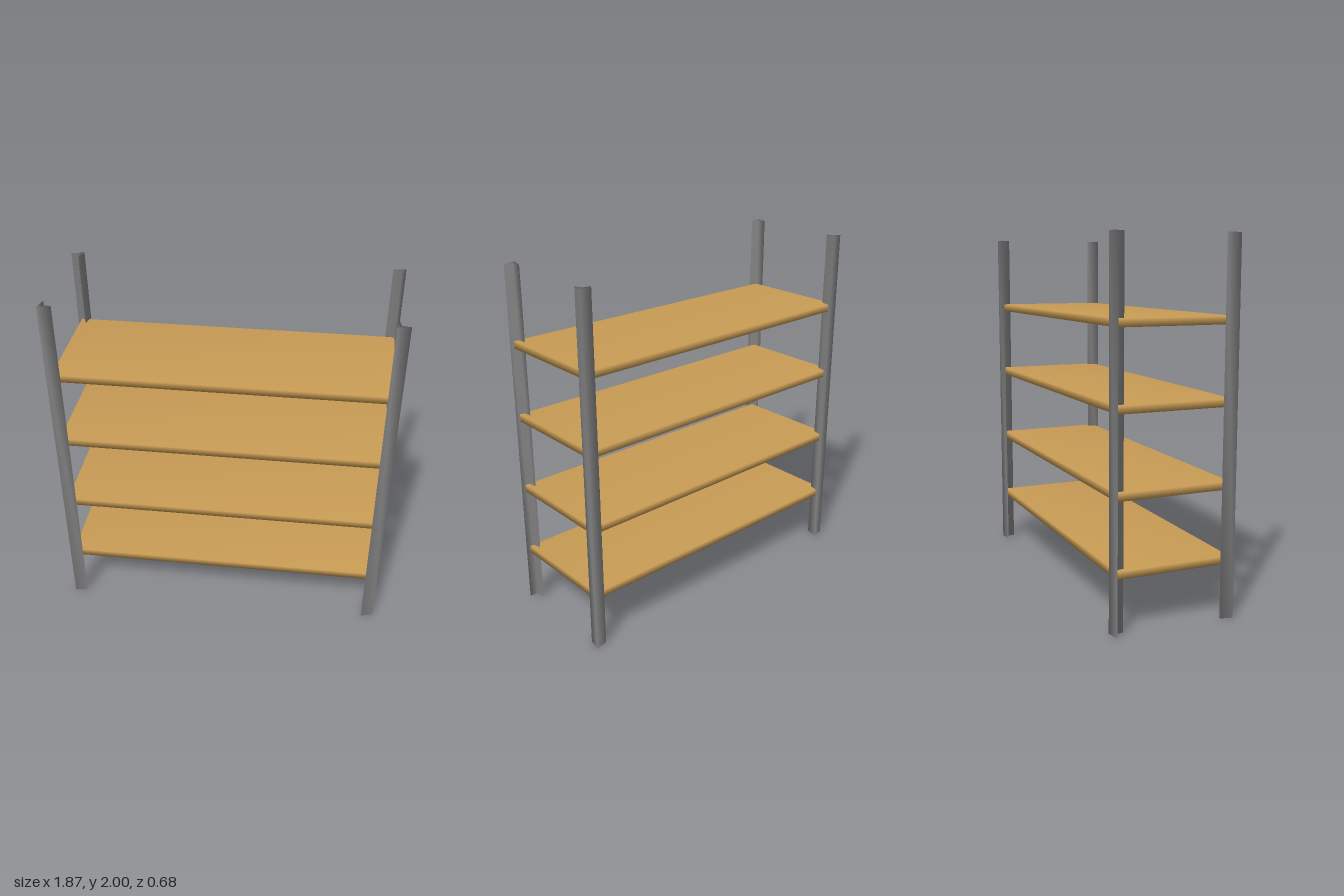
import * as THREE from 'three';
import { mergeVertices } from 'three/addons/utils/BufferGeometryUtils.js';

// Weld all corners and share their normals, for soft shading across edges
function softened(geometry) {
  geometry.deleteAttribute('normal');
  geometry.deleteAttribute('uv');
  geometry.clearGroups();
  const welded = mergeVertices(geometry, 1e-4);
  welded.computeVertexNormals();
  return welded;
}

export function createModel() {
  const model = new THREE.Group();
  model.name = 'shelvingUnit';

  const wood = new THREE.MeshStandardMaterial({ color: 0xc99c55 });
  wood.name = 'wood';
  const steel = new THREE.MeshStandardMaterial({ color: 0x828282 });
  steel.name = 'steel';

  // Angle-iron upright: tapering arrowhead section, corner at the origin
  const section = new THREE.Shape([
    new THREE.Vector2(0, 0),
    new THREE.Vector2(-0.072, -0.016),
    new THREE.Vector2(-0.024, -0.024),
    new THREE.Vector2(-0.016, -0.072),
  ]);
  const postGeometry = new THREE.ExtrudeGeometry(section, { depth: 2, bevelEnabled: false });
  postGeometry.rotateX(-Math.PI / 2);
  const angleIron = softened(postGeometry);

  // Back uprights point to +x -z, front uprights are turned half round
  const posts = [
    ['backLeftPost', 0.937, -0.342, 0],
    ['backRightPost', -0.865, -0.342, 0],
    ['frontLeftPost', 0.865, 0.342, Math.PI],
    ['frontRightPost', -0.937, 0.342, Math.PI],
  ];
  for (const [name, x, z, turn] of posts) {
    const post = new THREE.Mesh(angleIron, steel);
    post.name = name;
    post.position.set(x, 0, z);
    post.rotation.y = turn;
    model.add(post);
  }

  // Four boards
  const board = softened(new THREE.BoxGeometry(1.828, 0.042, 0.644));
  [0.316, 0.715, 1.148, 1.567].forEach((y, i) => {
    const shelf = new THREE.Mesh(board, wood);
    shelf.name = 'shelf' + (i + 1);
    shelf.position.y = y;
    model.add(shelf);
  });

  return model;
}
